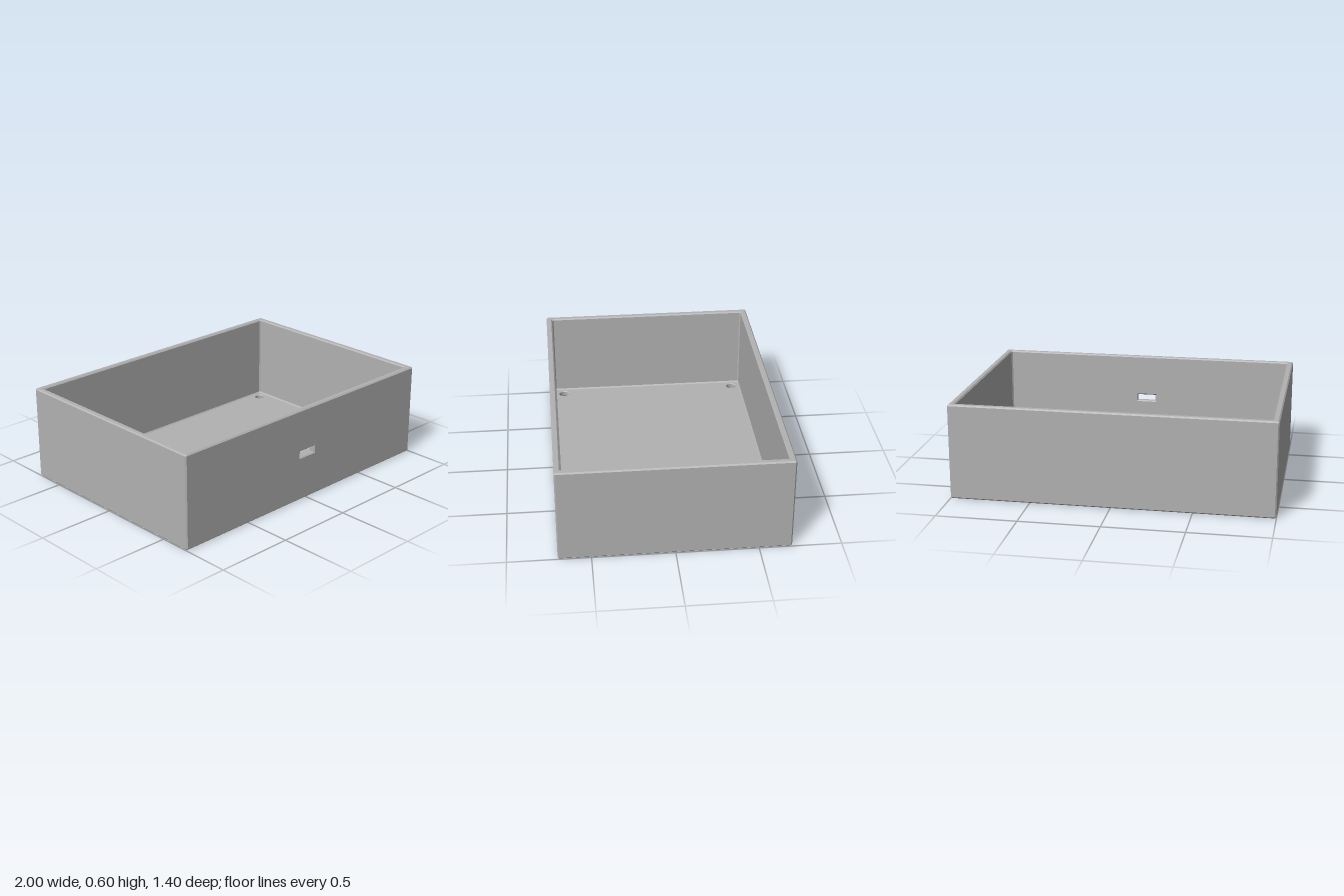
import * as THREE from 'three';
import { toCreasedNormals } from 'three/addons/utils/BufferGeometryUtils.js';

const V = (x, y, z) => new THREE.Vector3(x, y, z);

// Octagonal outline: a rectangle with small chamfered corners, counterclockwise
const outline = (hx, hz, c) => [
  [hx, -hz + c], [hx, hz - c], [hx - c, hz], [-hx + c, hz],
  [-hx, hz - c], [-hx, -hz + c], [-hx + c, -hz], [hx - c, -hz],
].map(([x, y]) => new THREE.Vector2(x, y));

const rect = (hx, hy, cy) => [[hx, -hy], [hx, hy], [-hx, hy], [-hx, -hy]]
  .map(([x, y]) => new THREE.Vector2(x, y + cy));

const circle = (r, cx, cy, n = 32) => Array.from({ length: n }, (_, i) => {
  const a = (i / n) * Math.PI * 2;
  return new THREE.Vector2(cx + r * Math.cos(a), cy + r * Math.sin(a));
});

// Joins closed rings into a skin; skip(band, side) leaves faces open
function loft(rings, skip = () => false) {
  const pts = [];
  for (let k = 0; k < rings.length - 1; k++) {
    const a = rings[k], b = rings[k + 1], n = a.length;
    for (let i = 0; i < n; i++) {
      if (skip(k, i)) continue;
      const j = (i + 1) % n;
      pts.push(a[i], a[j], b[j], a[i], b[j], b[i]);
    }
  }
  const g = new THREE.BufferGeometry().setFromPoints(pts);
  g.computeVertexNormals();
  return toCreasedNormals(g, 0.4);
}

// Flat panel with holes
function panel(points, holes) {
  const shape = new THREE.Shape(points);
  holes.forEach((h) => shape.holes.push(new THREE.Path(h)));
  return new THREE.ShapeGeometry(shape);
}

export function createModel() {
  const group = new THREE.Group();
  const grey = new THREE.MeshStandardMaterial({ color: 0xb2b2b2 });
  grey.name = 'grey plastic';
  const add = (name, geometry) => {
    const mesh = new THREE.Mesh(geometry, grey);
    mesh.name = name;
    group.add(mesh);
  };

  const b = 0.008, H = 0.6, wall = 0.04, floorY = 0.04, X = 1, Z = 0.7;
  const ix = X - wall, iz = Z - wall;

  // Tray skin: outside, rim and inside, with softened edges
  const section = [
    [b, 0, b / 2], [0, b, b], [0, H - b, b], [b, H, b / 2],
    [wall - b, H, b], [wall, H - b, b], [wall, floorY + b, b], [wall + b, floorY, b / 2],
  ];
  const rings = section.map(([inset, y, c]) =>
    outline(X - inset, Z - inset, c).map((p) => V(p.x, y, -p.y)));
  add('trayWalls', loft(rings, (k, i) => i === 6 && (k === 1 || k === 5)));

  // Front wall faces around the slot
  const slotY = 0.307, flare = 0.007;
  const slot = (grow) => rect(0.062 + grow, 0.021 + grow, slotY);
  const wallFace = (hx, y0) => rect(hx - b, (H - b - y0) / 2, (H - b + y0) / 2);
  add('frontWallOutside', panel(wallFace(X, b), [slot(flare)]).translate(0, 0, Z));
  add('frontWallInside',
    panel(wallFace(ix, floorY + b), [slot(flare)]).rotateY(Math.PI).translate(0, 0, iz));
  add('frontSlot', loft(
    [[flare, Z], [0, Z - flare], [0, iz + flare], [flare, iz]]
      .map(([grow, z]) => slot(grow).map((p) => V(p.x, p.y, z)))));

  // Floor faces and the four screw holes
  const centres = [[0.9, 0.6], [-0.9, 0.6], [0.9, -0.6], [-0.9, -0.6]];
  const r = 0.032, e = 0.005;
  const holes = centres.map(([x, z]) => circle(r + e, x, z));
  add('floorTop', panel(outline(ix - b, iz - b, b / 2), holes)
    .rotateX(-Math.PI / 2).translate(0, floorY, 0));
  add('floorUnderside', panel(outline(X - b, Z - b, b / 2), holes).rotateX(Math.PI / 2));
  centres.forEach(([x, z]) => add('screwHole', loft(
    [[r + e, floorY], [r, floorY - e], [r, e], [r + e, 0]]
      .map(([rad, y]) => circle(rad, x, z).map((p) => V(p.x, y, -p.y))))));

  return group;
}
